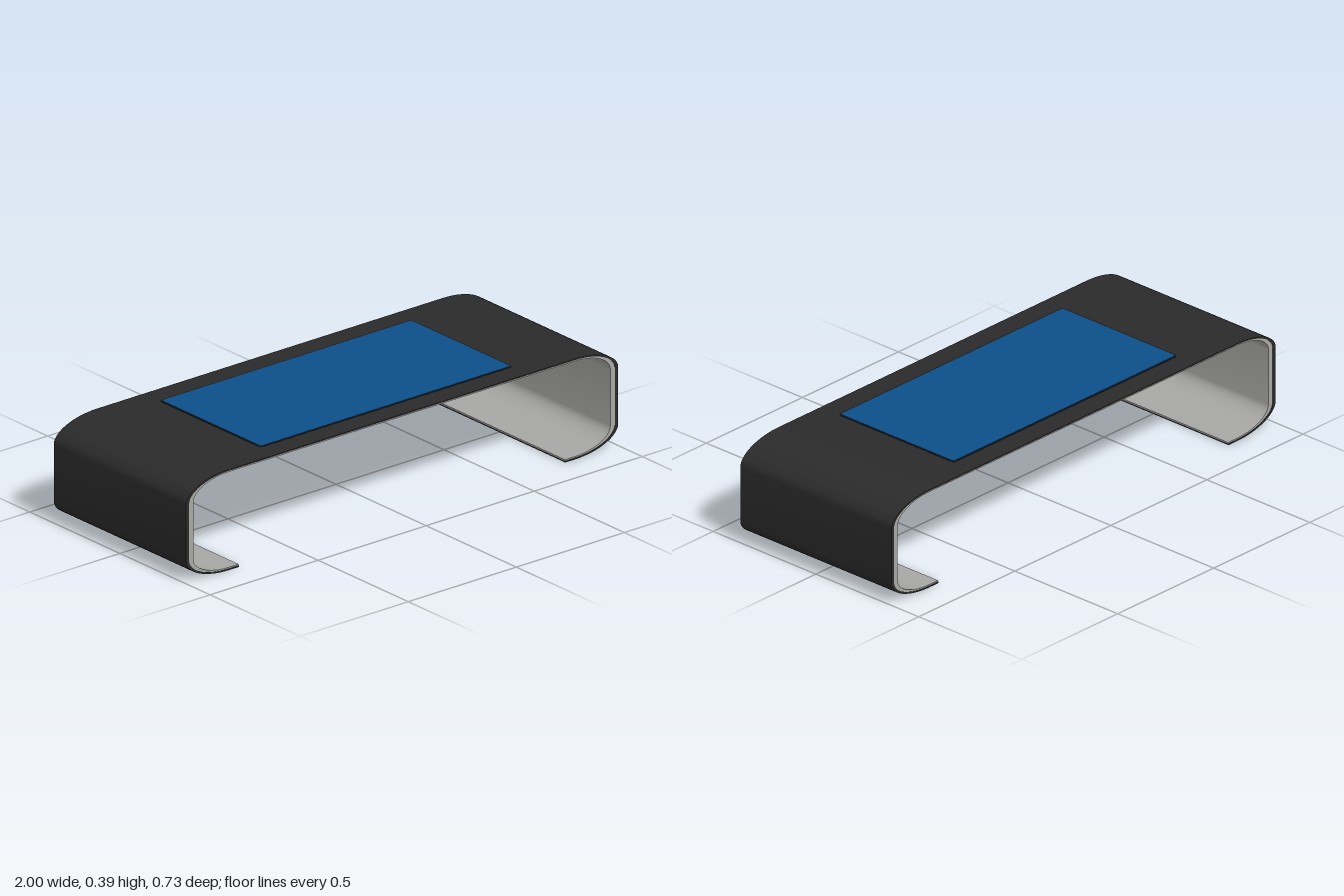
import * as THREE from 'three';
import { toCreasedNormals } from 'three/addons/utils/BufferGeometryUtils.js';

const DEPTH = 0.734, TOP = 0.387, LIP = 0.755;

// C-shaped path from the right lip, over the top, to the left lip
function outline(inX, inY) {
  const w = 1 - inX, lo = inY, hi = TOP - inY;
  const rx = 0.2 - inX, ry = 0.085 - inY, n = 14;
  const half = [new THREE.Vector2(LIP, lo)];
  for (const [cy, start] of [[lo + ry, -Math.PI / 2], [hi - ry, 0]]) {
    for (let i = 0; i <= n; i++) {
      const a = start + (i / n) * Math.PI / 2;
      half.push(new THREE.Vector2(w - rx + rx * Math.cos(a), cy + ry * Math.sin(a)));
    }
  }
  const left = half.map(p => new THREE.Vector2(-p.x, p.y)).reverse();
  return [...half, ...left];
}

// Closed layer between two outlines, extruded along z
function layer(name, outer, inner, depth, material) {
  const shape = new THREE.Shape([...outer, ...inner.slice().reverse()]);
  const geo = new THREE.ExtrudeGeometry(shape, { depth, bevelEnabled: false });
  geo.translate(0, 0, -depth / 2);
  const mesh = new THREE.Mesh(toCreasedNormals(geo, 0.6), material);
  mesh.name = name;
  return mesh;
}

// Thin rounded plate lying flat, with its top at the given height
function plate(name, w, d, r, thickness, top, material) {
  const x = w / 2, y = d / 2, s = new THREE.Shape();
  s.moveTo(-x + r, -y);
  s.lineTo(x - r, -y).quadraticCurveTo(x, -y, x, -y + r);
  s.lineTo(x, y - r).quadraticCurveTo(x, y, x - r, y);
  s.lineTo(-x + r, y).quadraticCurveTo(-x, y, -x, y - r);
  s.lineTo(-x, -y + r).quadraticCurveTo(-x, -y, -x + r, -y);
  const geo = new THREE.ExtrudeGeometry(s, { depth: thickness, bevelEnabled: false, curveSegments: 5 });
  geo.rotateX(-Math.PI / 2);
  geo.translate(0, top - thickness, 0);
  const mesh = new THREE.Mesh(geo, material);
  mesh.name = name;
  return mesh;
}

export function createModel() {
  const material = (name, color) => {
    const m = new THREE.MeshStandardMaterial({ color });
    m.name = name;
    return m;
  };
  const black = material('black', 0x2b2b2b);
  const grey = material('light grey', 0xa8a9a5);
  const blue = material('screen blue', 0x0d4f8b);
  const edge = material('dark edge', 0x171a1d);

  const model = new THREE.Group();
  model.name = 'wristband';

  // Dark outer shell and light inner lining
  const outside = outline(0, 0), middle = outline(0.014, 0.005), inside = outline(0.035, 0.01);
  model.add(layer('outerShell', outside, middle, DEPTH, black));
  model.add(layer('innerLining', middle, inside, DEPTH - 0.004, grey));

  // Display set on top, with a fine dark border
  model.add(plate('displayBorder', 1.17, 0.564, 0.018, 0.003, TOP + 0.001, edge));
  model.add(plate('display', 1.156, 0.55, 0.014, 0.003, TOP + 0.002, blue));
  return model;
}
